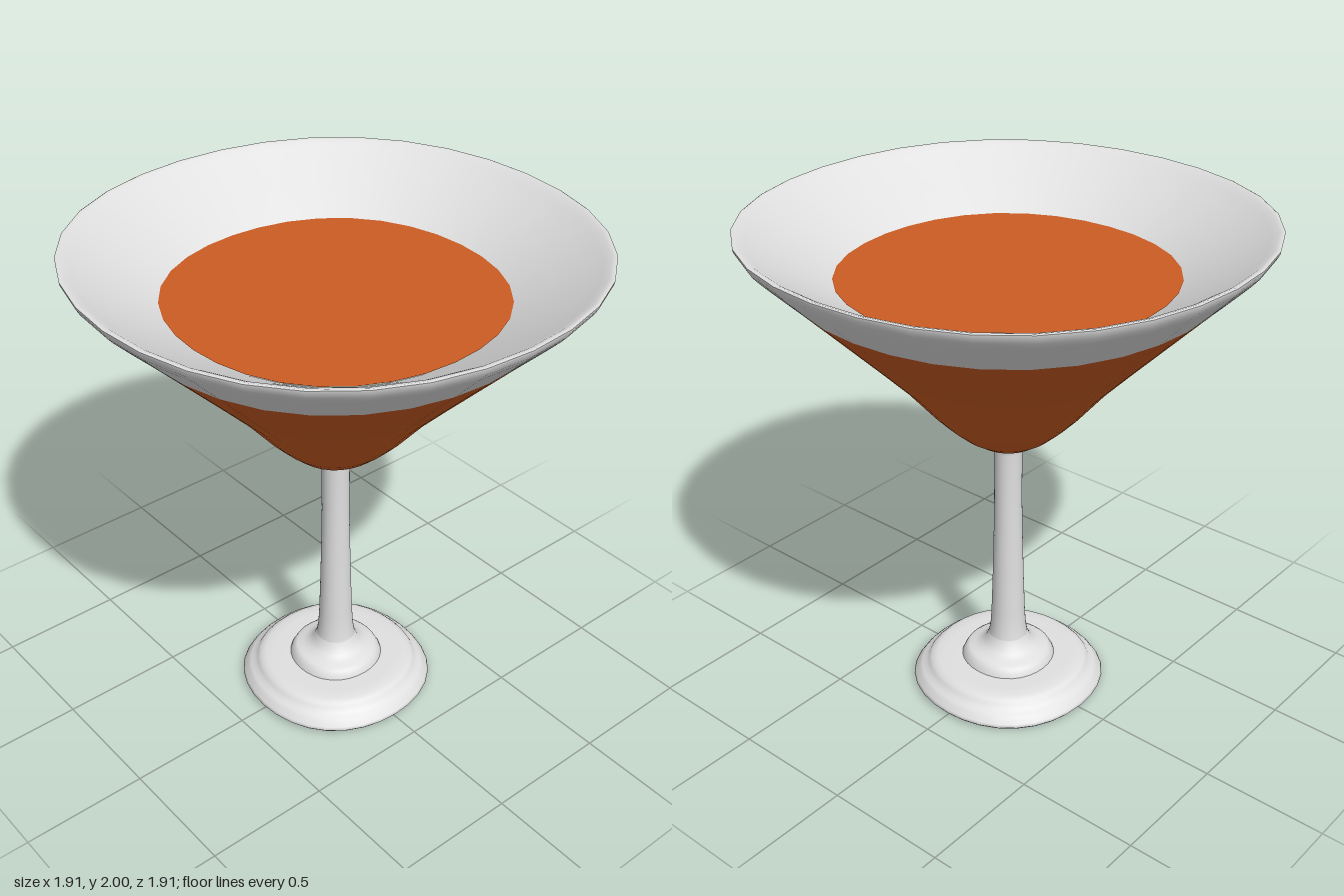
import * as THREE from 'three';

const SIDES = 32;

// Revolve a profile of [radius, height] pairs, swelling slightly on the diagonals
function turn(name, profile, material) {
  const geometry = new THREE.LatheGeometry(profile.map(([r, y]) => new THREE.Vector2(r, y)), SIDES);
  const pos = geometry.attributes.position;
  for (let i = 0; i < pos.count; i++) {
    const swell = 1 + 0.022 * Math.sin(2 * Math.atan2(pos.getZ(i), pos.getX(i))) ** 2;
    pos.setXYZ(i, pos.getX(i) * swell, pos.getY(i), pos.getZ(i) * swell);
  }
  const mesh = new THREE.Mesh(geometry, material);
  mesh.name = name;
  return mesh;
}

export function createModel() {
  const glass = new THREE.MeshStandardMaterial({ name: 'pale glass', color: 0xe0e0e0 });
  const orange = new THREE.MeshStandardMaterial({ name: 'orange drink', color: 0xcb5c22 });
  const group = new THREE.Group();
  group.name = 'cocktailGlass';

  group.add(
    // Foot: flat underside, then two stepped tiers
    turn('footUnderside', [[0, 0.005], [0.36, 0.005]], glass),
    turn('footLowerTier', [
      [0.36, 0.005], [0.378, 0.01], [0.386, 0.02], [0.38, 0.03], [0.365, 0.05], [0.352, 0.063],
      [0.335, 0.068], [0.325, 0.085], [0.312, 0.098], [0.29, 0.106], [0.25, 0.108], [0.187, 0.108],
    ], glass),
    turn('footUpperTier', [
      [0.187, 0.108], [0.182, 0.122], [0.172, 0.14], [0.158, 0.15], [0.135, 0.153],
      [0.11, 0.167], [0.09, 0.187], [0.078, 0.215],
    ], glass),
    // Stem
    turn('stem', [
      [0.078, 0.215], [0.071, 0.26], [0.067, 0.33], [0.062, 0.48], [0.057, 0.68],
      [0.054, 0.85], [0.054, 1.07], [0.06, 1.09], [0.062, 1.108],
    ], glass),
    // Bowl: clear collar, drink seen through the wall, clear rim
    turn('bowlCollar', [[0, 1.1], [0.05, 1.102], [0.09, 1.109]], glass),
    turn('bowlDrinkWall', [
      [0.09, 1.109], [0.13, 1.128], [0.18, 1.162], [0.235, 1.212], [0.29, 1.27], [0.34, 1.33],
      [0.4, 1.402], [0.5, 1.507], [0.6, 1.61], [0.7, 1.713], [0.785, 1.8],
    ], orange),
    turn('bowlRimOutside', [
      [0.785, 1.8], [0.86, 1.875], [0.92, 1.937], [0.942, 1.963], [0.954, 1.985], [0.956, 1.997],
    ], glass),
    turn('bowlInside', [
      [0.956, 1.997], [0.95, 2], [0.935, 1.996], [0.91, 1.98], [0.85, 1.941], [0.75, 1.88],
      [0.62, 1.8], [0.55, 1.755],
    ], glass),
    // Drink surface
    turn('drinkSurface', [[0.62, 1.802], [0, 1.802]], orange),
  );
  return group;
}
